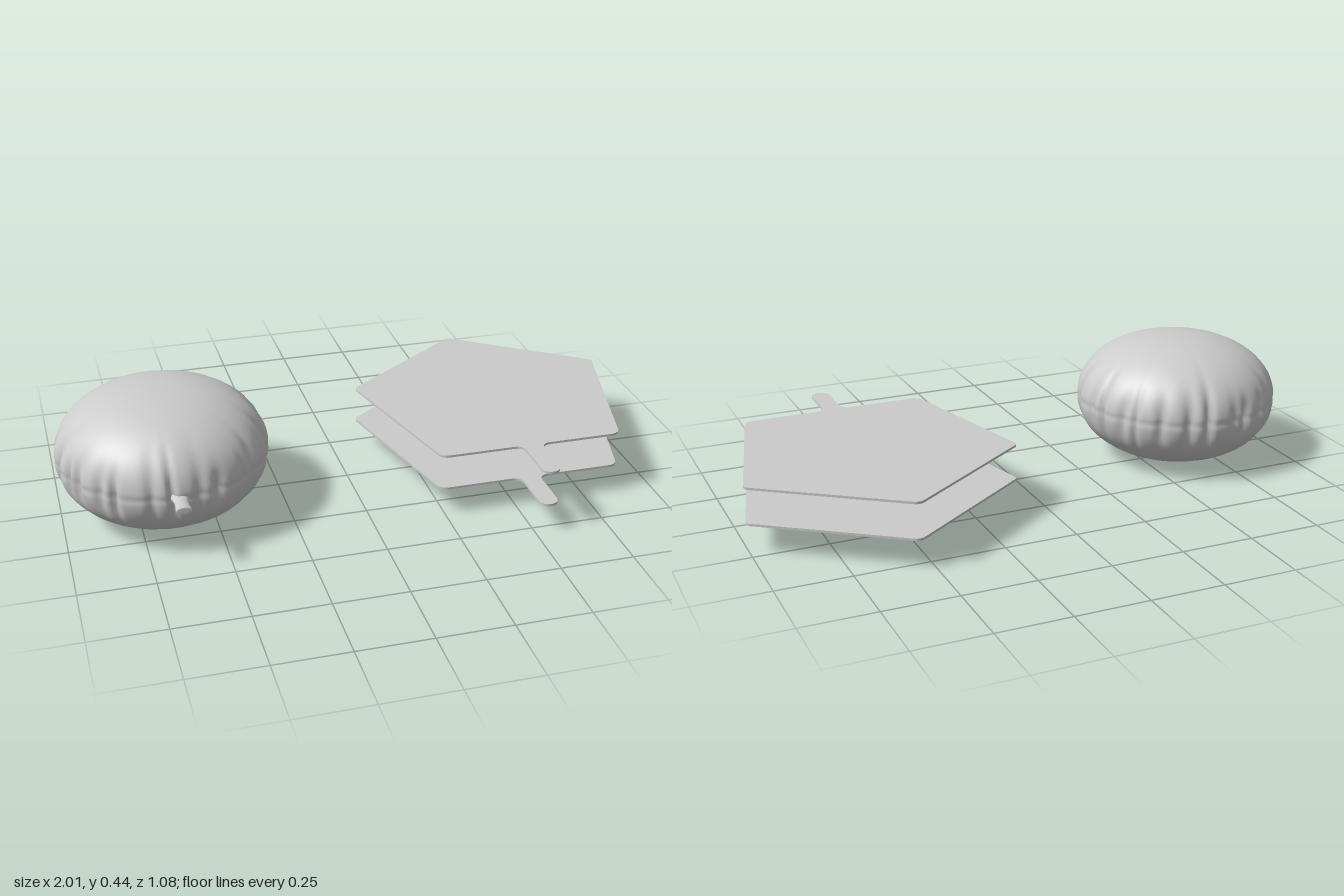
import * as THREE from 'three';
import { mergeVertices } from 'three/addons/utils/BufferGeometryUtils.js';

const material = new THREE.MeshStandardMaterial({ color: 0xcccccc, side: THREE.DoubleSide });

function addMesh(parent, name, geometry) {
  const mesh = new THREE.Mesh(geometry, material);
  mesh.name = name;
  parent.add(mesh);
  return mesh;
}

// Small seeded generator for the uneven folds
function seeded(seed) {
  return () => (seed = (seed * 16807) % 2147483647) / 2147483647;
}

// Closed outline from corners [x, y, radius], each rounded by an arc
function roundedOutline(corners) {
  const shape = new THREE.Shape();
  corners.forEach(([x, y, r], i) => {
    const p = new THREE.Vector2(x, y);
    const dirTo = (c) => new THREE.Vector2(c[0], c[1]).sub(p).normalize();
    const a = dirTo(corners.at(i - 1));
    const b = dirTo(corners[(i + 1) % corners.length]);
    const half = Math.acos(a.dot(b)) / 2;
    const start = p.clone().addScaledVector(a, r / Math.tan(half));
    const centre = p.clone().addScaledVector(a.clone().add(b).normalize(), r / Math.sin(half));
    const end = p.clone().addScaledVector(b, r / Math.tan(half));
    if (i === 0) shape.moveTo(start.x, start.y);
    else shape.lineTo(start.x, start.y);
    shape.absarc(centre.x, centre.y, r,
      Math.atan2(start.y - centre.y, start.x - centre.x),
      Math.atan2(end.y - centre.y, end.x - centre.x),
      a.cross(b) > 0);
  });
  shape.closePath();
  return shape;
}

// Pentagonal sheet with a filling tab
function sheetGeometry() {
  const half = [
    [0.461, -0.22, 0.024], [0.317, 0.345, 0.035],
    [0.032, 0.345, 0.03], [0.032, 0.535, 0.031],
  ];
  const corners = [
    [0, -0.547, 0.03], ...half,
    ...half.map(([x, y, r]) => [-x, y, r]).reverse(),
  ];
  const geometry = new THREE.ExtrudeGeometry(roundedOutline(corners),
    { depth: 0.008, bevelEnabled: false, curveSegments: 10 });
  return geometry.rotateX(Math.PI / 2);
}

// Inflated body: flattened superellipsoid gathered into folds at its seam
function balloonGeometry() {
  const random = seeded(41);
  const folds = [];
  const count = 27;
  for (let i = 0; i < count; i++) {
    folds.push({
      angle: ((i + 0.6 * (random() - 0.5)) / count) * Math.PI * 2,
      depth: 0.008 + 0.015 * random(),
      width: 0.025 + 0.03 * random(),
      reach: 0.25 + 0.3 * random(),
      lean: 0.1 * (random() - 0.5),
    });
  }
  const geometry = new THREE.SphereGeometry(1, 240, 100);
  geometry.deleteAttribute('uv');
  geometry.deleteAttribute('normal');
  const position = geometry.attributes.position;
  const v = new THREE.Vector3();
  for (let i = 0; i < position.count; i++) {
    v.fromBufferAttribute(position, i);
    const angle = Math.atan2(v.z, v.x);
    const ring = Math.hypot(v.x, v.z);
    let radius = 0.356 * Math.pow(ring, 0.9);
    for (const f of folds) {
      const d = angle - f.angle - f.lean * v.y;
      const wrapped = Math.atan2(Math.sin(d), Math.cos(d));
      const spread = f.width * (1 + 1.5 * Math.abs(v.y));
      radius -= f.depth * Math.exp(-((wrapped / spread) ** 2) - (v.y / f.reach) ** 2);
    }
    // Shallow crease along the seam
    radius -= 0.003 * Math.exp(-((v.y / 0.04) ** 2));
    const y = Math.sign(v.y) * 0.222 * Math.pow(Math.abs(v.y), 0.95);
    position.setXYZ(i, radius * Math.cos(angle), y, radius * Math.sin(angle));
  }
  const merged = mergeVertices(geometry, 1e-5);
  merged.computeVertexNormals();
  return merged;
}

// Flattened filling neck pointing forward
function neckGeometry() {
  const profile = [
    [0.036, -0.05], [0.026, 0], [0.022, 0.02], [0.023, 0.04],
    [0.026, 0.07], [0.024, 0.073], [0, 0.072],
  ].map(([r, y]) => new THREE.Vector2(r, y));
  const geometry = new THREE.LatheGeometry(profile, 24);
  return geometry.rotateX(Math.PI / 2).scale(1, 0.5, 1);
}

export function createModel() {
  const model = new THREE.Group();
  model.name = 'balloonAndSheets';

  // Inflated balloon
  const balloon = new THREE.Group();
  balloon.name = 'balloon';
  balloon.position.set(-0.65, 0.225, 0.032);
  addMesh(balloon, 'balloonBody', balloonGeometry());
  addMesh(balloon, 'balloonNeck', neckGeometry()).position.set(0.004, 0, 0.355);
  model.add(balloon);

  // Two flat sheets, one above the other
  const sheet = sheetGeometry();
  [['lowerSheet', 0.108], ['upperSheet', 0.23]].forEach(([name, top]) => {
    addMesh(model, name, sheet).position.set(0.548, top, 0);
  });
  return model;
}
